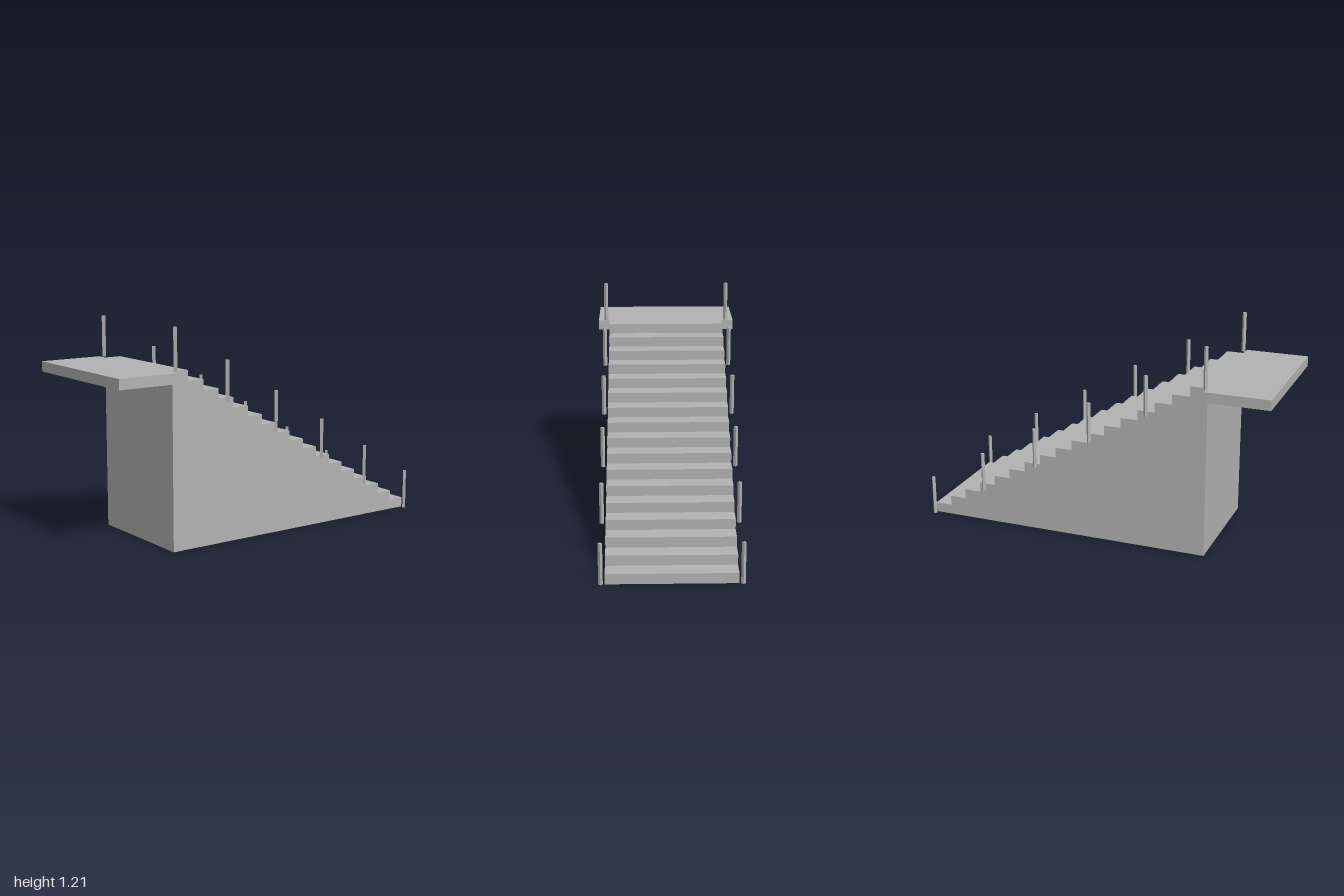
import * as THREE from 'three';

export function createModel() {
  const model = new THREE.Group();
  model.name = 'staircase';
  const concrete = new THREE.MeshStandardMaterial({ color: 0xb2b2b2 });
  concrete.name = 'concrete grey';

  // Everything is laid out along local x (downhill), then turned diagonally
  const layout = new THREE.Group();
  layout.name = 'diagonalLayout';
  layout.rotation.y = Math.PI / 4;
  model.add(layout);

  const add = (name, geometry, x, y, z) => {
    const mesh = new THREE.Mesh(geometry, concrete);
    mesh.name = name;
    mesh.position.set(x, y, z);
    layout.add(mesh);
    return mesh;
  };

  // Solid flight: stepped side profile extruded across the width
  const steps = 17, top = 0.976, back = -0.636, foot = 1.033, width = 0.692;
  const rise = top / steps, run = (foot - back) / steps;
  const profile = new THREE.Shape();
  profile.moveTo(back, 0);
  profile.lineTo(foot, 0);
  for (let i = 0; i < steps; i++) {
    profile.lineTo(foot - i * run, (i + 1) * rise);
    profile.lineTo(foot - (i + 1) * run, (i + 1) * rise);
  }
  profile.closePath();
  add('stepFlight', new THREE.ExtrudeGeometry(profile, { depth: width, bevelEnabled: false }), 0, 0, -width / 2);

  // Landing slab, wider than the flight
  const landingEnd = -0.998, slab = rise;
  add('landing', new THREE.BoxGeometry(back - landingEnd, slab, 0.828),
    (back + landingEnd) / 2, top - slab / 2, 0);

  // Railing posts in pairs, kept square to the world axes
  const postHeight = 0.23;
  const postGeometry = new THREE.BoxGeometry(0.017, postHeight, 0.017);
  for (let i = 0; i < 6; i++) {
    for (const side of [-1, 1]) {
      const post = add(side < 0 ? 'backPost' : 'frontPost', postGeometry,
        1.033 - i * 0.3325, i * 0.196 + postHeight / 2, side * 0.367);
      post.rotation.y = -Math.PI / 4;
    }
  }
  return model;
}
